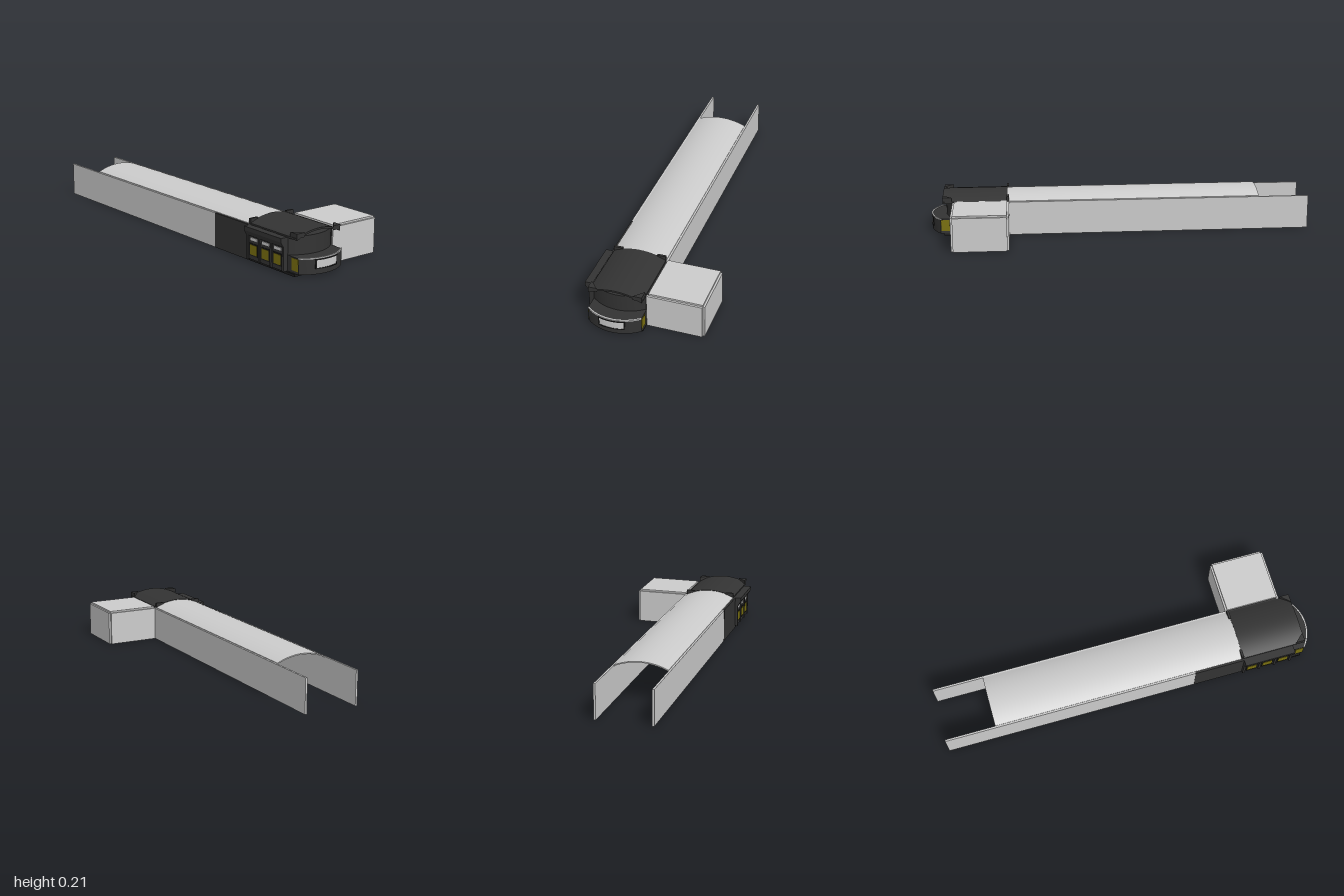
import * as THREE from 'three';
import { toCreasedNormals } from 'three/addons/utils/BufferGeometryUtils.js';

const CX = -0.125; // centre line of the hall
const HALF = 0.135; // half width of the hall

export function createModel() {
  const root = new THREE.Group();
  root.name = 'stationBuilding';
  const grey = new THREE.MeshStandardMaterial({ color: 0xcccccc });
  const dark = new THREE.MeshStandardMaterial({ color: 0x333333 });
  const black = new THREE.MeshStandardMaterial({ color: 0x1c1c1c });
  const olive = new THREE.MeshStandardMaterial({ color: 0x7a7010 });

  const add = (name, geometry, material) => {
    const mesh = new THREE.Mesh(geometry, material);
    mesh.name = name;
    root.add(mesh);
    return mesh;
  };
  // Box from its minimum and maximum corners
  const box = (name, x0, x1, y0, y1, z0, z1, material) => {
    const g = new THREE.BoxGeometry(x1 - x0, y1 - y0, z1 - z0);
    g.translate((x0 + x1) / 2, (y0 + y1) / 2, (z0 + z1) / 2);
    return add(name, g, material);
  };
  const extrude = (points, depth) => toCreasedNormals(
    new THREE.ExtrudeGeometry(new THREE.Shape(points), { depth, bevelEnabled: false }), 0.5);

  // Points of a shallow arc between two x offsets, crown at the given height
  const arc = (x0, x1, rise, crown, n = 24) => {
    const r = (HALF * HALF + rise * rise) / (2 * rise);
    return Array.from({ length: n + 1 }, (_, i) => {
      const x = x0 + (x1 - x0) * i / n;
      return new THREE.Vector2(CX + x, crown - r + Math.sqrt(r * r - x * x));
    });
  };
  // Vaulted roof along z
  const vault = (name, z0, z1, rise, crown, thick, material) => {
    const top = arc(HALF, -HALF, rise, crown);
    const under = arc(-HALF, HALF, rise, crown - thick);
    add(name, extrude([...top, ...under], z1 - z0).translate(0, 0, z0), material);
  };
  // Upright block whose front follows the bow; back is a z, or null for a curved panel
  const bow = (name, x0, x1, y0, y1, front, back, material, thick = 0.006) => {
    const edge = arc(x1, x0, 0.05, front);
    const rear = back === null ? arc(x0, x1, 0.05, front - thick)
      : [new THREE.Vector2(CX + x0, back), new THREE.Vector2(CX + x1, back)];
    const g = extrude([...edge, ...rear], y1 - y0);
    add(name, g.rotateX(Math.PI / 2).translate(0, y1, 0), material);
  };

  // Entrance hall body: plinth, projecting lower bow, recessed upper wall
  box('plinth', -0.27, 0.01, 0, 0.013, 0.6, 0.93, black);
  bow('lowerBow', -HALF, HALF, 0.012, 0.09, 0.996, 0.6, dark);
  bow('bowCornice', -HALF, HALF, 0.087, 0.093, 0.999, null, grey, 0.008);
  bow('upperWall', -HALF, HALF, 0.09, 0.18, 0.92, 0.6, dark);

  // Curved front window in its frame
  const frame = [[-0.067, 0.067, 0.037, 0.042], [-0.067, 0.067, 0.08, 0.085],
    [-0.067, -0.062, 0.042, 0.08], [0.062, 0.067, 0.042, 0.08]];
  for (const [a, b, y0, y1] of frame) bow('frontWindowFrame', a, b, y0, y1, 1, null, black);
  bow('frontWindow', -0.062, 0.062, 0.042, 0.08, 0.998, null, grey);

  // Windows on the two sides of the bow
  for (const s of [-1, 1]) {
    const x = CX + s * HALF;
    box('bowSideWindow', x - 0.002, x + 0.002, 0.025, 0.085, 0.9, 0.944, olive);
  }

  // Entrance roof with gable infill and corner pieces
  vault('hallRoof', 0.595, 0.933, 0.03, 0.212, 0.009, dark);
  add('roofInfill', extrude([...arc(HALF, -HALF, 0.03, 0.206),
    new THREE.Vector2(CX - HALF, 0.172), new THREE.Vector2(CX + HALF, 0.172)], 0.26)
    .translate(0, 0, 0.6), dark);
  for (const s of [-1, 1]) {
    const inner = CX + s * 0.09, outer = CX + s * HALF;
    box('roofCornerBlock', Math.min(inner, outer), Math.max(inner, outer),
      0.175, 0.205, 0.588, 0.6, dark);
    // Triangular fairing at the front eave
    const tri = [new THREE.Vector2(outer, 0.933), new THREE.Vector2(inner, 0.933),
      new THREE.Vector2(outer, 0.885)];
    add('eaveFairing', extrude(tri, 0.022).rotateX(Math.PI / 2).translate(0, 0.205, 0), dark);
  }

  // Side aisle with pilasters, windows and a sloping canopy
  box('sideAisle', -0.279, -0.258, 0.012, 0.175, 0.6, 0.87, dark);
  for (let i = 0; i < 4; i++) {
    const z = 0.606 + i * 0.086;
    box('pilaster', -0.286, -0.278, 0.012, 0.14, z - 0.006, z + 0.006, dark);
    if (i === 3) continue;
    box('aisleWindowFrame', -0.282, -0.278, 0.032, 0.093, z + 0.013, z + 0.073, black);
    box('aisleWindow', -0.284, -0.279, 0.038, 0.087, z + 0.018, z + 0.068, olive);
    box('aisleTransom', -0.282, -0.278, 0.108, 0.122, z + 0.018, z + 0.068, grey);
  }
  const canopy = [[-0.265, 0.177], [-0.303, 0.177], [-0.303, 0.157], [-0.286, 0.13], [-0.265, 0.13]]
    .map(([x, y]) => new THREE.Vector2(x, y));
  add('sideCanopy', extrude(canopy, 0.27).translate(0, 0, 0.6), dark);

  // Rear wall door and upper window, facing into the long hall
  box('rearDoor', -0.165, -0.085, 0.005, 0.097, 0.596, 0.602, grey);
  box('rearWindow', -0.24, -0.12, 0.115, 0.155, 0.596, 0.602, grey);

  // Long open shed: two side walls under a thin vault
  box('shedWallRight', -0.27, -0.26, 0, 0.177, -1, 0.335, grey);
  box('shedWallRightDark', -0.271, -0.259, 0, 0.177, 0.335, 0.6, dark);
  box('shedWallLeft', 0.01, 0.02, 0, 0.177, -1, 0.6, grey);
  vault('shedRoof', -0.735, 0.598, 0.03, 0.21, 0.006, grey);

  // Side annex with walls, roof slab and the wall that joins it to the hall
  box('annexLink', 0.008, 0.02, 0.012, 0.176, 0.6, 0.875, dark);
  box('annexBody', 0.02, 0.29, 0, 0.177, 0.598, 0.872, grey);
  box('annexOuterWall', 0.29, 0.3, 0, 0.177, 0.598, 0.872, grey);
  box('annexFrontWall', 0.012, 0.29, 0, 0.177, 0.872, 0.882, grey);
  box('annexBackWall', 0.012, 0.29, 0, 0.177, 0.588, 0.598, grey);
  box('annexRoof', 0.02, 0.29, 0.177, 0.186, 0.598, 0.872, grey);

  return root;
}
